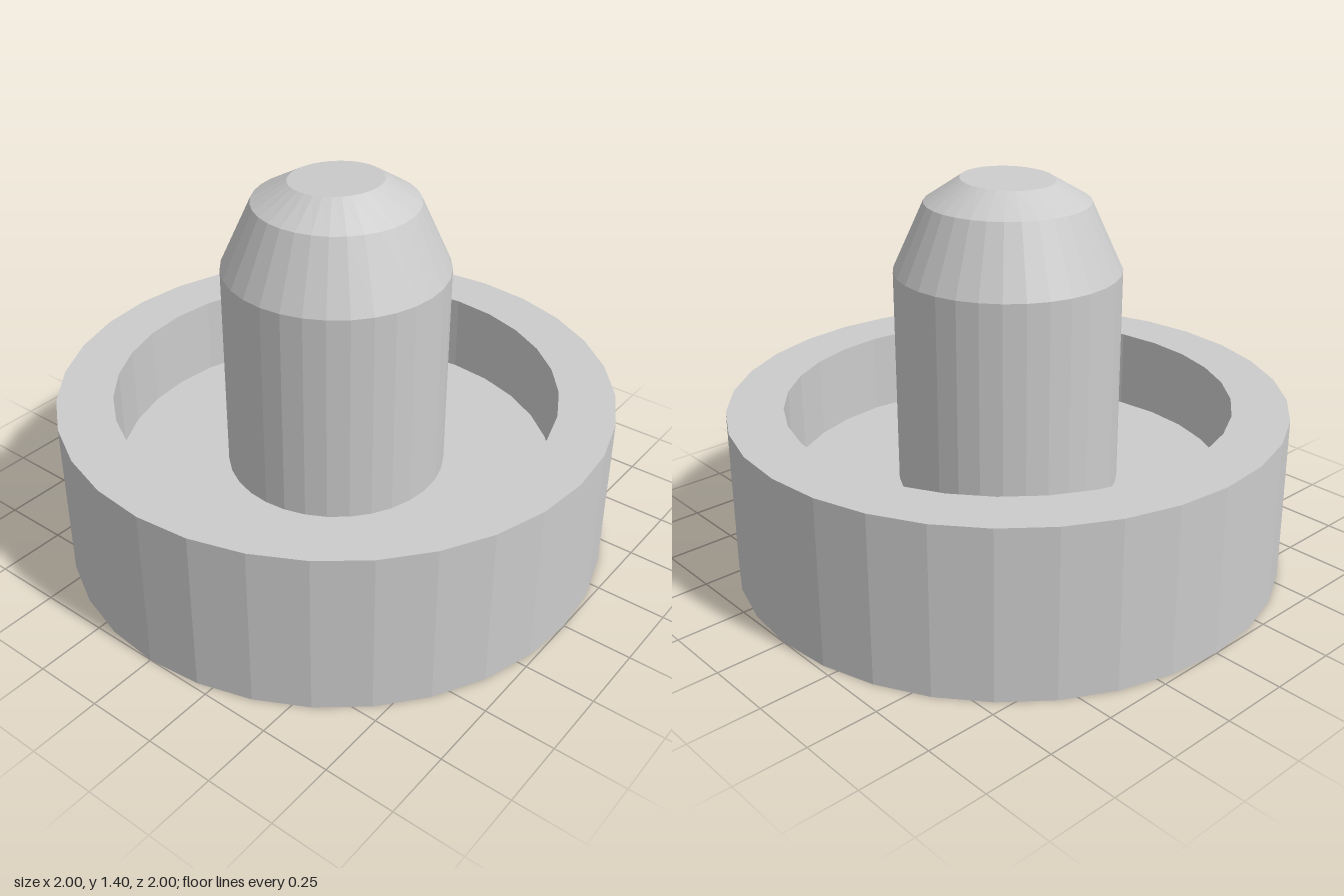
import * as THREE from 'three';

const SEGMENTS = 32;

// Faceted solid of revolution from [radius, height] pairs, listed bottom to top on the outside
function turned(name, profile) {
  const points = profile.map(([r, y]) => new THREE.Vector2(r, y));
  const material = new THREE.MeshStandardMaterial({ color: 0xcccccc, flatShading: true });
  const mesh = new THREE.Mesh(new THREE.LatheGeometry(points, SEGMENTS), material);
  mesh.name = name;
  return mesh;
}

export function createModel() {
  const model = new THREE.Group();
  model.name = 'pegInCup';

  // Round cup with a thick wall and a raised floor
  const cup = turned('cup', [[0, 0], [1, 0], [1, 0.6], [0.8, 0.6], [0.8, 0.3], [0, 0.3]]);

  // Central post with a two-step tapered tip
  const post = turned('post', [[0.4, 0.3], [0.4, 1.08], [0.29, 1.32], [0.165, 1.397], [0, 1.397]]);

  // Tilt the flat cap slightly down towards the back
  const position = post.geometry.attributes.position;
  for (let i = 0; i < position.count; i++) {
    if (position.getY(i) > 1.35) position.setY(i, position.getY(i) + 0.045 * position.getZ(i));
  }
  post.geometry.computeVertexNormals();

  model.add(cup, post);
  return model;
}
